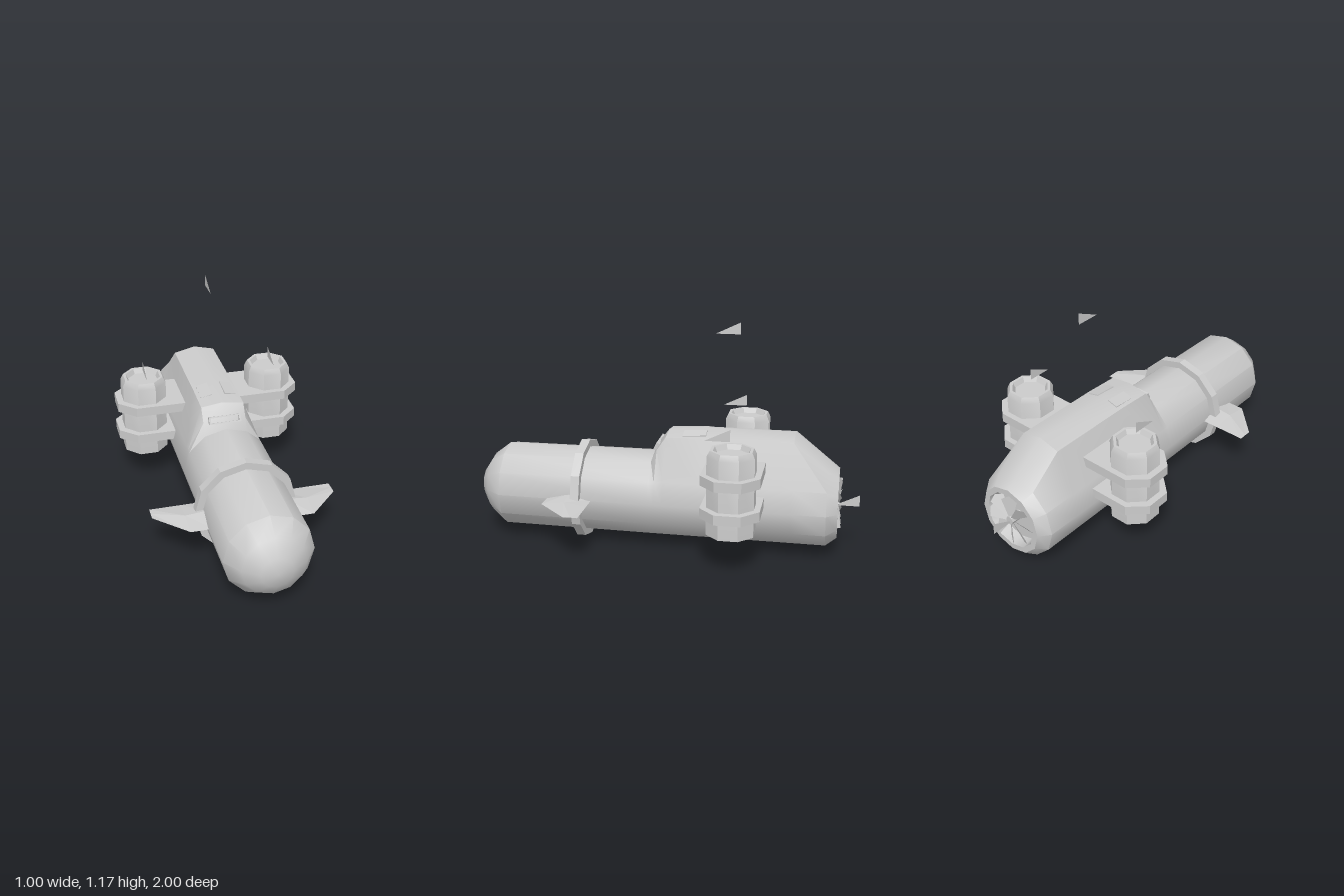
import * as THREE from 'three';
import { toCreasedNormals } from 'three/addons/utils/BufferGeometryUtils.js';

const AXIS_Y = 0.265;
const grey = new THREE.MeshStandardMaterial({ color: 0xcccccc });
const flat = new THREE.MeshStandardMaterial({ color: 0xcccccc, flatShading: true });
const thin = new THREE.MeshStandardMaterial({ color: 0xcccccc, flatShading: true, side: THREE.DoubleSide });

function add(parent, name, geometry, material, x = 0, y = 0, z = 0) {
  const mesh = new THREE.Mesh(geometry, material);
  mesh.name = name;
  mesh.position.set(x, y, z);
  parent.add(mesh);
  return mesh;
}

// Skin closed cross-sections of equal point count
function loft(sections) {
  const n = sections[0].length, index = [];
  for (let i = 0; i < sections.length - 1; i++) {
    for (let k = 0; k < n; k++) {
      const a = i * n + k, b = i * n + (k + 1) % n;
      index.push(a, b, b + n, a, b + n, a + n);
    }
  }
  const g = new THREE.BufferGeometry();
  g.setAttribute('position', new THREE.Float32BufferAttribute(sections.flat(2), 3));
  g.setIndex(index);
  g.computeVertexNormals();
  return g;
}

// Twelve-sided hull section; the cabin lifts its top three points
function hullSection([z, r, ridge, shoulder]) {
  const points = [];
  for (let k = 0; k < 12; k++) {
    const a = k * Math.PI / 6;
    let y = AXIS_Y + r * Math.cos(a);
    if (ridge && k === 0) y = ridge;
    if (ridge && (k === 1 || k === 11)) y = shoulder;
    points.push([r * Math.sin(a), y, z]);
  }
  return points;
}

function polygon(points) {
  return new THREE.Shape(points.map(([x, y]) => new THREE.Vector2(x, y)));
}

// Vertical thruster with its two brackets, built on the +x side
function makePod(name) {
  const pod = new THREE.Group();
  pod.name = name;
  const k = 1 / Math.cos(Math.PI / 8);
  const profile = [[0, 0.2], [0.116, 0.2], [0.116, 0.595], [0.102, 0.625],
    [0.088, 0.625], [0.076, 0.6], [0, 0.6]].map(([r, y]) => new THREE.Vector2(r * k, y));
  const tube = toCreasedNormals(new THREE.LatheGeometry(profile, 8, Math.PI / 8), 0.6);
  add(pod, 'thrusterTube', tube, grey, 0.35);

  const plate = polygon([[0.145, -0.146], [0.413, -0.146], [0.5, -0.065],
    [0.5, 0.065], [0.413, 0.146], [0.145, 0.146]]);
  for (const y of [0.29, 0.455]) {
    const g = new THREE.ExtrudeGeometry(plate, { depth: 0.05, bevelEnabled: false });
    g.rotateX(-Math.PI / 2);
    add(pod, 'thrusterBracket', g, flat, 0, y);
  }
  pod.position.z = -0.385;
  return pod;
}

export function createModel() {
  const model = new THREE.Group();
  model.name = 'submarine';

  // Hull with nose, cabin and recessed tail: z, radius, ridge height, shoulder height
  const stations = [
    [1, 0], [0.985, 0.08], [0.935, 0.157], [0.85, 0.222], [0.06, 0.225],
    [0.03, 0.225, 0.55, 0.525], [-0.015, 0.225, 0.608, 0.592],
    [-0.2, 0.225, 0.627, 0.6], [-0.665, 0.225, 0.627, 0.6], [-0.838, 0.225],
    [-0.893, 0.182], [-0.893, 0.152], [-0.83, 0.14], [-0.83, 0],
  ];
  add(model, 'hull', toCreasedNormals(loft(stations.map(hullSection)), 0.65), grey);

  // Collar around the hull
  const collar = [[0.215, 0], [0.261, 0], [0.261, 0.045], [0.215, 0.045], [0.215, 0]]
    .map(([r, y]) => new THREE.Vector2(r, y));
  const collarGeo = new THREE.LatheGeometry(collar, 12);
  collarGeo.rotateX(Math.PI / 2);
  add(model, 'collar', collarGeo, flat, 0, AXIS_Y, 0.41);

  // Cabin window frame
  const frame = polygon([[-0.085, -0.02], [0.085, -0.02], [0.085, 0.02], [-0.085, 0.02]]);
  frame.holes.push(polygon([[-0.075, -0.013], [-0.075, 0.013], [0.075, 0.013], [0.075, -0.013]]));
  const frameGeo = new THREE.ExtrudeGeometry(frame, { depth: 0.025, bevelEnabled: false });
  add(model, 'windowFrame', frameGeo, flat, 0, 0.528, 0.022).rotation.x = -0.45;

  // Low hatches on the cabin roof
  for (const s of [-1, 1]) {
    const hatch = add(model, 'roofHatch', new THREE.BoxGeometry(0.06, 0.016, 0.12), flat, s * 0.062, 0.605, -0.16);
    hatch.rotation.set(0.07, 0, -s * 0.24);
  }

  // Diving fins with a diamond section: x, trailing z, leading z, half thickness
  const finSections = [[0.2, 0.355, 0.588, 0.027], [0.31, 0.355, 0.588, 0.017], [0.468, 0.355, 0.43, 0.001]]
    .map(([x, back, front, t]) => {
      const mid = (back + front) / 2;
      return [[x, t, mid], [x, 0, front], [x, -t, mid], [x, 0, back]];
    });
  const finGeo = loft(finSections);
  add(model, 'leftFin', finGeo, flat, 0, AXIS_Y);
  add(model, 'rightFin', finGeo, flat, 0, AXIS_Y).rotation.z = Math.PI;

  // Side thrusters
  model.add(makePod('leftThruster'));
  const rightPod = makePod('rightThruster');
  rightPod.rotation.y = Math.PI;
  model.add(rightPod);

  // Tail propeller
  const propeller = new THREE.Group();
  propeller.name = 'propeller';
  propeller.position.set(0, AXIS_Y, -0.888);
  const bladeGeo = new THREE.ShapeGeometry(polygon([[-0.01, 0.015], [0.01, 0.015], [0.04, 0.125], [0, 0.145], [-0.04, 0.125]]));
  bladeGeo.rotateY(0.6);
  for (let i = 0; i < 8; i++) {
    add(propeller, 'propellerBlade', bladeGeo, thin).rotation.z = i * Math.PI / 4;
  }
  const hubGeo = new THREE.CylinderGeometry(0.022, 0.022, 0.07, 8);
  hubGeo.rotateX(Math.PI / 2);
  add(propeller, 'propellerHub', hubGeo, flat, 0, 0, 0.025);
  model.add(propeller);

  // Loose thin triangular vanes above the thrusters, above the cabin and at the tail
  const vaneGeo = new THREE.ShapeGeometry(polygon([[0, 0], [0.125, 0], [0.125, 0.06]]));
  vaneGeo.rotateY(Math.PI / 2);
  for (const [x, y, z] of [[0.35, 0.66, -0.25], [-0.35, 0.66, -0.25], [0, 1.115, -0.25], [0, 0.25, -0.875]]) {
    add(model, 'vane', vaneGeo, thin, x, y, z);
  }
  return model;
}
